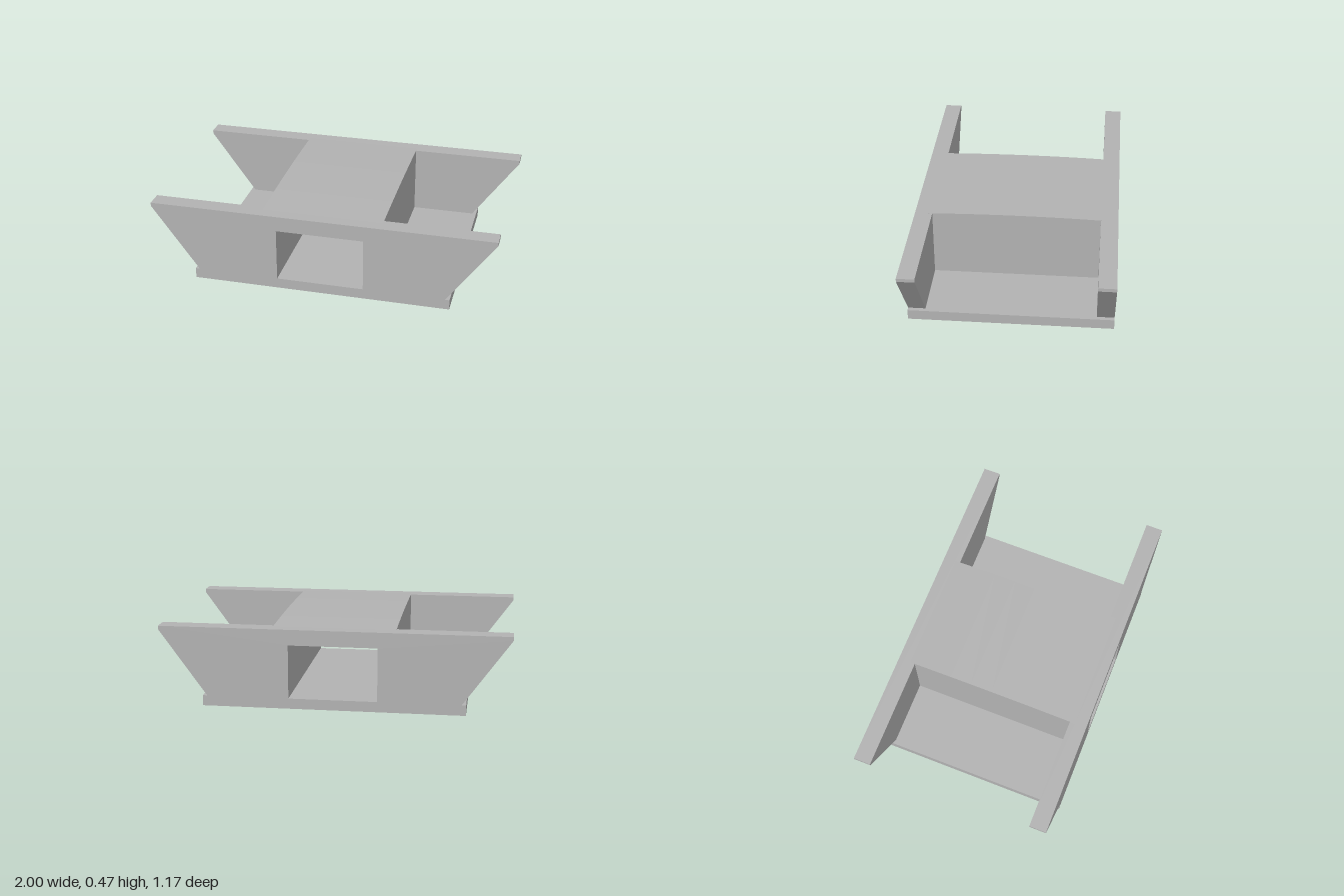
import * as THREE from 'three';

export function createModel() {
  const group = new THREE.Group();
  const grey = new THREE.MeshStandardMaterial({ color: 0xb2b2b2, flatShading: true });
  grey.name = 'plain grey';

  const add = (name, geometry, x = 0, y = 0, z = 0) => {
    const mesh = new THREE.Mesh(geometry, grey);
    mesh.name = name;
    mesh.position.set(x, y, z);
    group.add(mesh);
  };
  const box = (name, w, y0, y1, d, x = 0) =>
    add(name, new THREE.BoxGeometry(w, y1 - y0, d), x, (y0 + y1) / 2, 0);
  const extrude = (points, depth) =>
    new THREE.ExtrudeGeometry(new THREE.Shape(points.map(([x, y]) => new THREE.Vector2(x, y))),
      { depth, bevelEnabled: false }).translate(0, 0, -depth / 2);

  const floorY = 0.06, topY = 0.46, ceilingY = 0.37;
  const halfDepth = 0.585, wallDepth = 0.1, innerDepth = 2 * (halfDepth - wallDepth);
  const tunnelX = 0.253, blockX = 0.35;

  // Base slab
  box('base', 1.5, 0, floorY, 2 * halfDepth);

  // Flared end walls with the tunnel opening
  const half = [[tunnelX, ceilingY], [tunnelX, floorY], [0.725, floorY], [1, 0.44], [1, topY]];
  const outline = [...half, ...half.map(([x, y]) => [-x, y]).reverse()];
  for (const side of [1, -1]) {
    add(side > 0 ? 'frontWall' : 'backWall', extrude(outline, wallDepth),
      0, 0, side * (halfDepth - wallDepth / 2));
    // Tunnel side walls
    box(side > 0 ? 'leftTunnelWall' : 'rightTunnelWall', blockX - tunnelX, floorY, ceilingY,
      innerDepth, side * (blockX + tunnelX) / 2);
  }

  // Tunnel roof with a slightly crowned top
  box('tunnelRoof', 2 * blockX, ceilingY, topY, innerDepth);
  const crown = [];
  const steps = 8, reach = 0.515, rise = 0.009;
  for (let i = 0; i <= steps; i++) {
    const t = 1 - (2 * i) / steps;
    crown.push([t * reach, topY + rise * (1 - t * t)]);
  }
  add('roofCrown', extrude(crown, 2 * blockX).rotateY(Math.PI / 2));

  return group;
}
